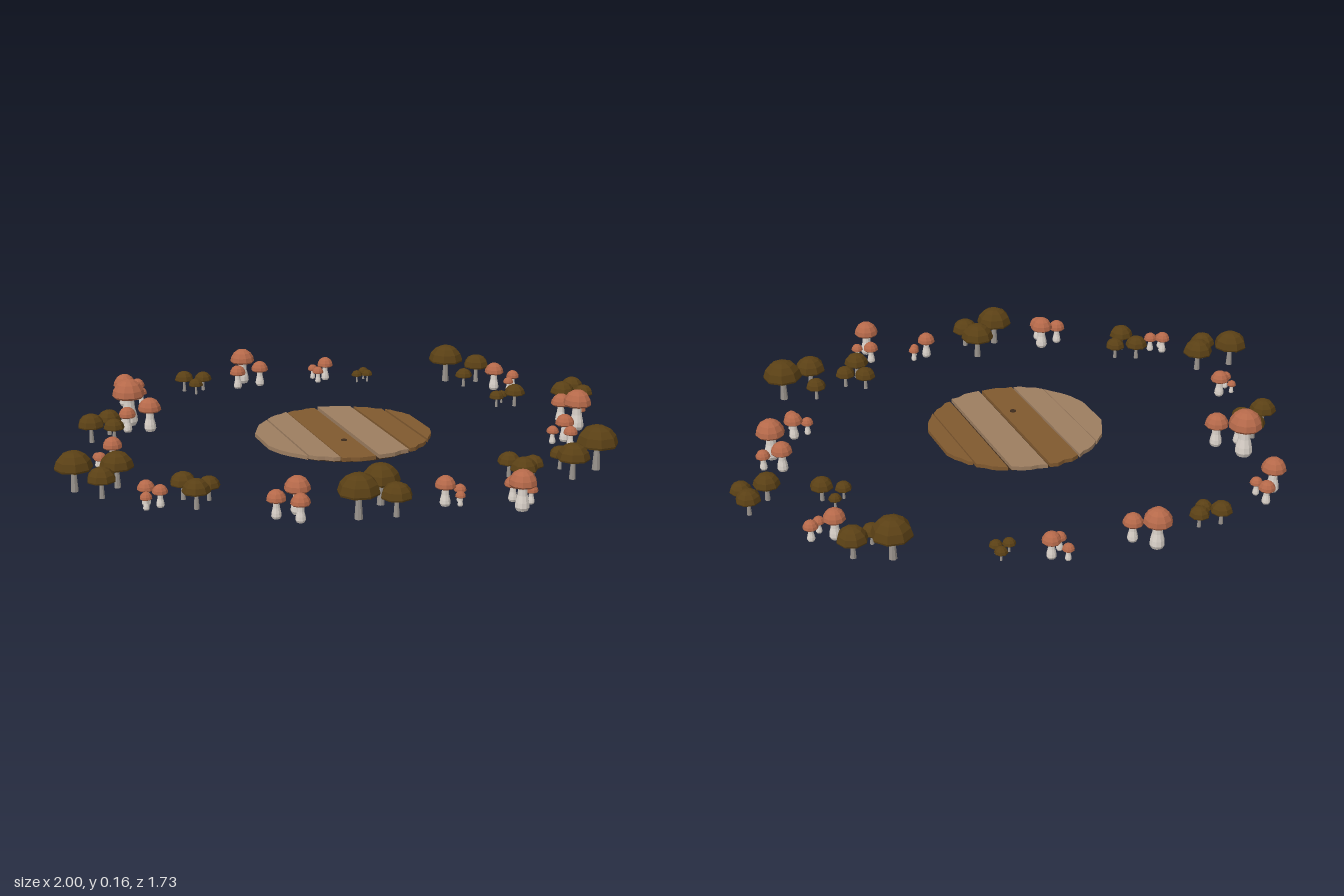
import * as THREE from 'three';

const mat = (color) => new THREE.MeshStandardMaterial({ color, flatShading: true, side: THREE.DoubleSide });

// Clusters of three mushrooms: [x, z, cap radius] in hundredths
const RED = [
  [[-53, -73, 2.7], [-59, -67, 4], [-53, -67, 2.1]],
  [[-10, -82, 4.5], [-14, -75, 3], [-5, -76, 3.2]],
  [[17, -78, 1.9], [21, -75, 3], [17, -72, 2.1]],
  [[-63, -43, 5.6], [-65.5, -35, 3], [-58, -33.5, 4]],
  [[-83, -1.5, 1.6], [-78, -1.5, 3.2], [-83, 3, 2.1]],
  [[-77, 39, 2.7], [-78, 43, 1.9], [-73.5, 42, 2.4]],
  [[-44.5, 63, 3], [-37.5, 61.5, 4], [-39, 68.5, 3]],
  [[5.5, 70.5, 3.2], [11, 69, 1.9], [9.5, 72.5, 1.6]],
  [[26, 74, 2.7], [30, 78, 2.1], [25, 82, 4.3]],
  [[64, 28, 2.1], [69, 27, 3.2], [68, 33, 2.4]],
  [[78.5, 7, 3.5], [84, 10, 2.4], [79.5, 16.5, 4.8]],
  [[75.5, -39.5, 3.5], [82.5, -38, 2.4], [79, -34.5, 1.9]],
];
const BROWN = [
  [[-34, -78, 3.5], [-27, -77, 3.2], [-31, -72.5, 2.7]],
  [[31, -67, 2.1], [35, -70.5, 2.1], [35, -66.5, 2.1]],
  [[63.5, -57, 6.4], [74, -52, 4.8], [66.5, -47, 3.2]],
  [[66, -18, 2.7], [70, -22, 2.1], [72.5, -16.5, 3.7]],
  [[88, -9.5, 4.3], [95.5, -16, 4], [96, -8.5, 3.5]],
  [[35, 53.5, 3.7], [41, 58, 3.5], [35, 63.5, 4.3]],
  [[53.5, 52.5, 3.5], [64, 57, 6.7], [52.5, 62.5, 5.3]],
  [[-12, 63, 5.9], [-22.5, 72, 6.4], [-11.5, 74, 4.8]],
  [[-65.5, 38, 4], [-58.5, 41.5, 3.5], [-64, 47.5, 4.3]],
  [[-94.5, 19.5, 5.9], [-81.5, 20.5, 5.3], [-88, 28.5, 4.5]],
  [[-72, -34, 4], [-79.5, -27.5, 4.5], [-72, -26.5, 3.5]],
];

const lathe = (profile, sides) =>
  new THREE.LatheGeometry(profile.map(([r, y]) => new THREE.Vector2(r, y)), sides);

// Profiles are for a cap radius of 1
function mushroomKind(name, capColor, gillColor, stemColor, cap, gills, stem, sides) {
  return {
    name,
    parts: [
      ['cap', lathe(cap, sides), mat(capColor)],
      ['gills', lathe(gills, sides), mat(gillColor)],
      ['stem', lathe(stem, sides), mat(stemColor)],
    ],
  };
}

function addClusters(parent, kind, clusters) {
  clusters.forEach((cluster, i) => {
    const group = new THREE.Group();
    group.name = `${kind.name}Cluster${i + 1}`;
    cluster.forEach(([x, z, r], j) => {
      const mushroom = new THREE.Group();
      mushroom.name = kind.name;
      for (const [name, geometry, material] of kind.parts) {
        const mesh = new THREE.Mesh(geometry, material);
        mesh.name = name;
        mushroom.add(mesh);
      }
      mushroom.position.set(x / 100, 0, z / 100);
      mushroom.scale.setScalar(r / 100);
      mushroom.rotation.y = i * 1.3 + j * 2.1;
      group.add(mushroom);
    });
    parent.add(group);
  });
}

// Flat board from an outline of [x, z] points
function board(name, outline, y, thickness, material) {
  const shape = new THREE.Shape(outline.map(([x, z]) => new THREE.Vector2(x, -z)));
  const geometry = new THREE.ExtrudeGeometry(shape, { depth: thickness, bevelEnabled: false });
  geometry.rotateX(-Math.PI / 2);
  const mesh = new THREE.Mesh(geometry, material);
  mesh.name = name;
  mesh.position.y = y;
  return mesh;
}

// Plank between x0 and x1, clipped to the round cover, with worn ends
function plankOutline(x0, x1, k) {
  const steps = 4, R = 0.295;
  const edge = (x) => Math.sqrt(Math.max(R * R - x * x, 0.006));
  const end = (sign) => Array.from({ length: steps + 1 }, (_, i) => {
    const x = x0 + ((x1 - x0) * i) / steps;
    const chip = 0.009 * (0.5 + 0.5 * Math.sin(i * 2.6 + k * 1.9 + sign));
    return [x, sign * (edge(x) - chip)];
  });
  return [...end(1), ...end(-1).reverse()];
}

export function createModel() {
  const model = new THREE.Group();
  model.name = 'mushroomRing';

  // Round wooden cover
  const cover = new THREE.Group();
  cover.name = 'woodenCover';
  const light = mat(0x9c7d60), dark = mat(0x80592f), under = mat(0x3d2b1c);
  const planks = [
    [-0.285, -0.202, light], [-0.198, -0.11, light], [-0.105, 0.002, dark],
    [0.014, 0.125, light], [0.136, 0.22, dark], [0.226, 0.28, dark],
  ];
  planks.forEach(([x0, x1, material], k) =>
    cover.add(board('plank', plankOutline(x0, x1, k), 0.02 + (k % 2) * 0.002, 0.013, material)));
  const disc = Array.from({ length: 28 }, (_, i) => {
    const a = (i / 28) * Math.PI * 2;
    return [0.268 * Math.cos(a), 0.275 * Math.sin(a)];
  });
  cover.add(board('coverBacking', disc, 0.013, 0.008, under));
  const knot = new THREE.Mesh(new THREE.CylinderGeometry(0.011, 0.011, 0.002, 8), under);
  knot.name = 'knot';
  knot.position.set(-0.035, 0.034, 0.1);
  cover.add(knot);
  model.add(cover);

  // Stout red mushrooms
  const red = mushroomKind('redMushroom', 0xb5694a, 0xcfc4b8, 0xd8d0c8,
    [[0.88, 1.76], [1, 1.9], [0.93, 2.25], [0.7, 2.62], [0.38, 2.84], [0, 2.92]],
    [[0.36, 1.95], [0.88, 1.76]],
    [[0, 0], [0.4, 0], [0.52, 0.25], [0.48, 0.6], [0.36, 1.1], [0.33, 1.5], [0.36, 1.97]], 10);
  addClusters(model, red, RED);

  // Slender brown mushrooms with broad caps
  const brown = mushroomKind('brownMushroom', 0x5a4015, 0x8a837c, 0x98928c,
    [[0.97, 1.22], [1, 1.32], [0.88, 1.7], [0.62, 2.0], [0.32, 2.14], [0, 2.18]],
    [[0.14, 1.42], [0.6, 1.36], [0.97, 1.22]],
    [[0, 0], [0.2, 0], [0.18, 0.3], [0.14, 0.9], [0.16, 1.44]], 8);
  addClusters(model, brown, BROWN);

  return model;
}
